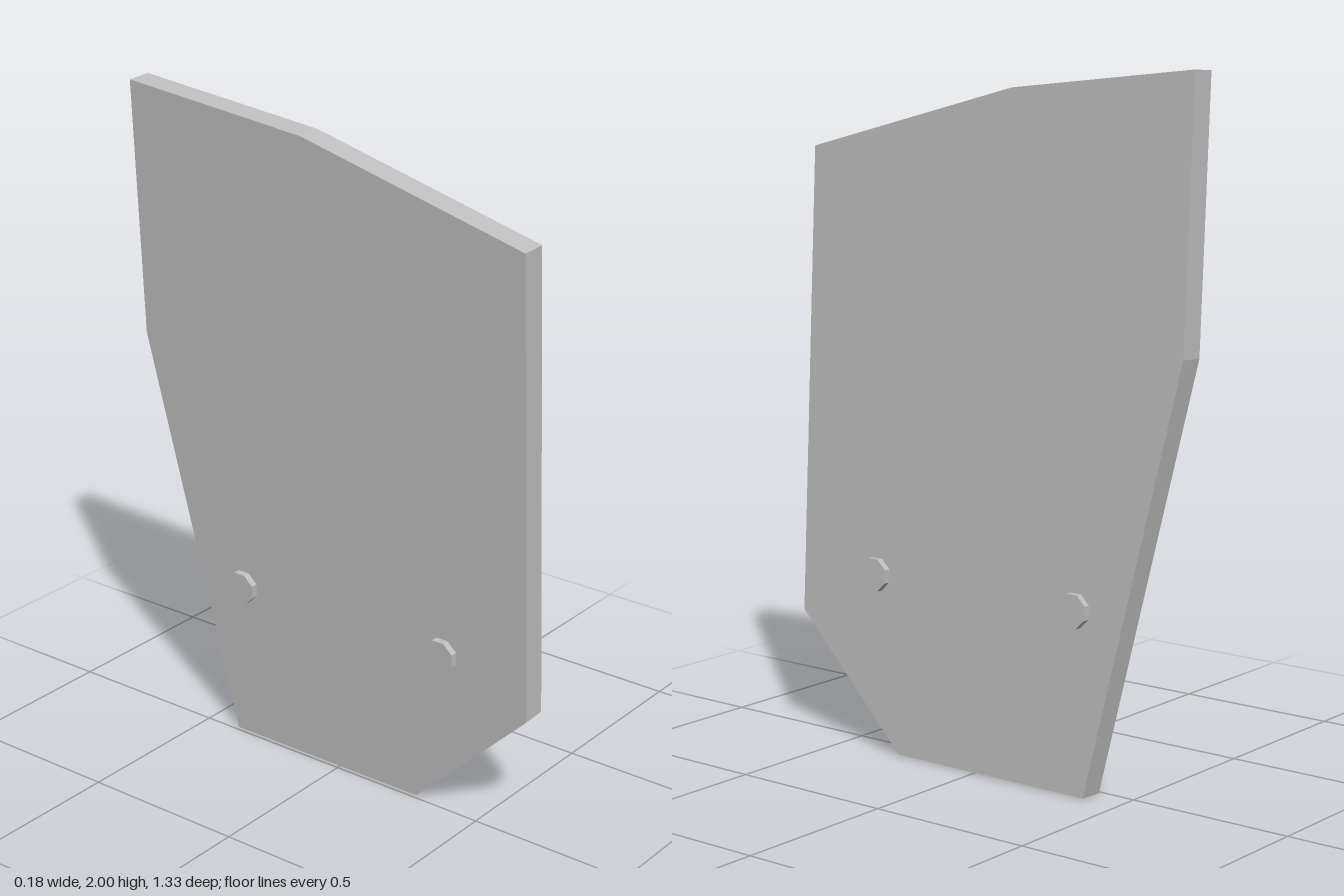
import * as THREE from 'three';

export function createModel() {
  const grey = new THREE.MeshStandardMaterial({ color: 0xbfbfbf });
  grey.name = 'grey';
  grey.flatShading = true;
  const sheetGrey = grey.clone();
  sheetGrey.name = 'panel grey';
  sheetGrey.side = THREE.DoubleSide;

  const thickness = 0.075;
  const group = new THREE.Group();
  group.name = 'leaningPanel';

  const add = (name, geometry, material = grey) => {
    const mesh = new THREE.Mesh(geometry, material);
    mesh.name = name;
    group.add(mesh);
    return mesh;
  };

  // Slab: outline as (-z, y), extruded along x
  const outline = [
    [-0.28, 0], [0.39, 0], [0.665, 1.24], [0.665, 2.0],
    [0.06, 1.94], [-0.665, 1.755], [-0.665, 0.375],
  ].map(([u, v]) => new THREE.Vector2(u, v));
  const slab = new THREE.ExtrudeGeometry(new THREE.Shape(outline), {
    depth: thickness, bevelEnabled: false,
  });
  slab.translate(0, 0, -thickness / 2);
  slab.rotateY(Math.PI / 2);
  add('slab', slab);

  // Thin rectangular sheet just off the left face
  const sheet = new THREE.PlaneGeometry(0.685, 0.63);
  sheet.rotateY(Math.PI / 2);
  add('sheet', sheet, sheetGrey).position.set(thickness / 2 + 0.006, 1.29, 0);

  // Eight-sided bolt heads on both faces
  for (const [side, y] of [[1, 0.521], [-1, 0.502]]) {
    for (const z of [0.382, -0.34]) {
      const bolt = new THREE.CylinderGeometry(0.051, 0.051, 0.04, 8, 1, false, Math.PI / 8);
      bolt.rotateZ(Math.PI / 2);
      add('bolt', bolt).position.set(side * 0.038, y, z);
    }
  }

  // Lean the whole panel towards -x
  group.rotation.z = 0.051;
  group.position.set(0.05, 0.002, 0);

  const model = new THREE.Group();
  model.name = 'model';
  model.add(group);
  return model;
}
